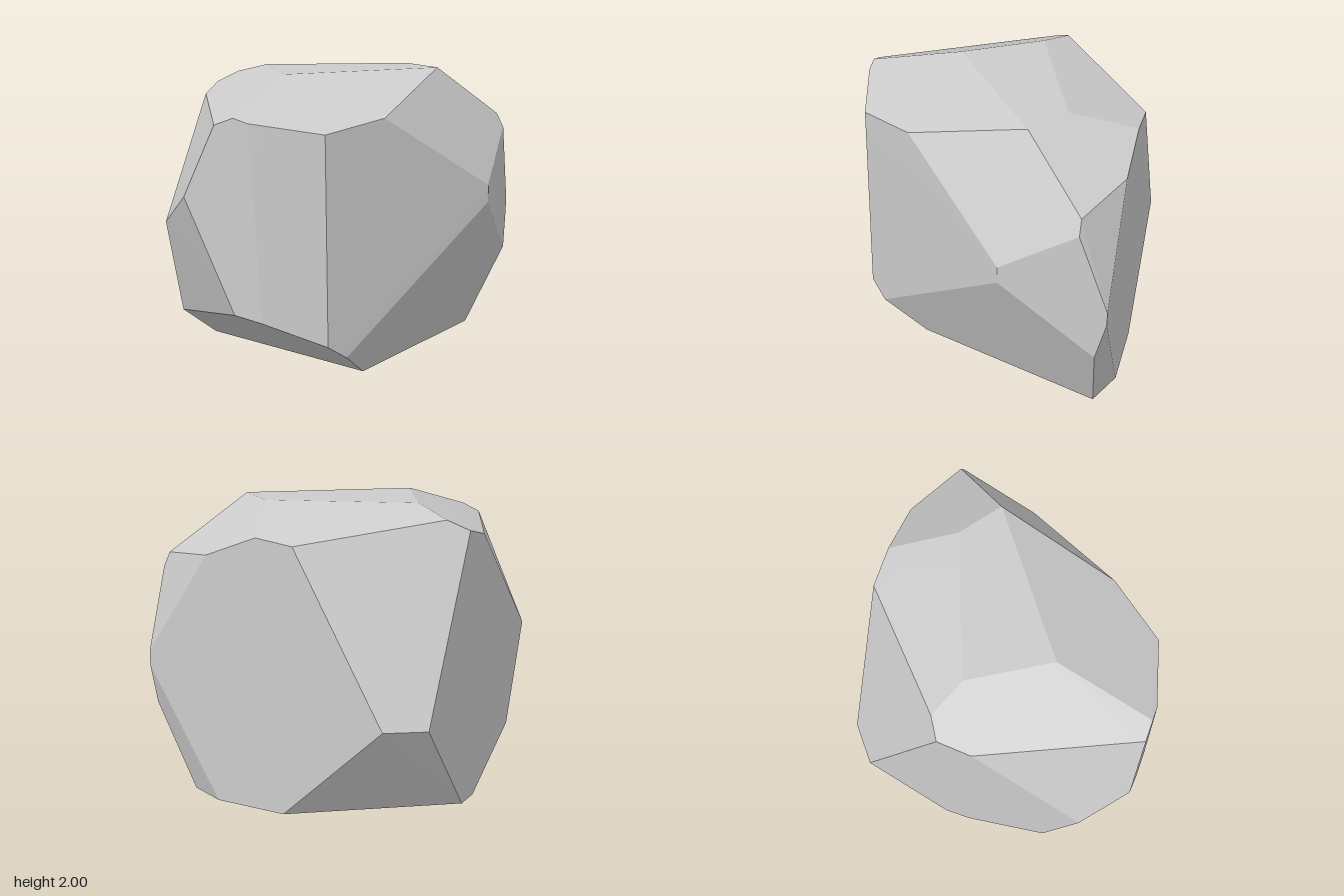
import * as THREE from 'three';
import { ConvexGeometry } from 'three/addons/geometries/ConvexGeometry.js';
import { toCreasedNormals } from 'three/addons/utils/BufferGeometryUtils.js';

// Outlines of the flat sides left on the block after its corners are cut away.
const sides = [
  // top, as x, z
  { outline: [[-0.61, -0.19], [-0.3, 0.32], [0.6, -0.37], [0.33, -0.57]], place: (x, z) => [x, 2, z] },
  // base, as x, z
  { outline: [[0.3, 0.44], [0.73, -0.89], [0.47, -1], [-0.04, -1], [-1, -0.27], [-1, -0.09]], place: (x, z) => [x, 0, z] },
  // front, as x, y
  { outline: [[-0.4, 1.8], [-0.53, 1.75], [-0.75, 1.27], [-0.41, 0.5], [-0.22, 0.46], [-0.3, 1.77]], place: (x, y) => [x, y, 1] },
  // back, as x, y
  { outline: [[0.52, 1.69], [0.14, 1.84], [-0.13, 1.81], [-0.77, 0.69], [1, 0.88], [1, 0.98]], place: (x, y) => [x, y, -1] },
  // +x side, as z, y
  { outline: [[-0.8, 1.53], [-0.28, 1.2], [-0.28, 1.08], [-0.93, 0.6]], place: (z, y) => [1, y, z] },
  // -x side, as z, y
  { outline: [[-0.23, 1.86], [0, 1.8], [0.74, 1.03], [0.49, 0.34], [-0.81, 0.68]], place: (z, y) => [-1, y, z] },
];

// Corners where three slanted cuts meet.
const cutCorners = [
  [-0.87, 1.93, -0.31], [0.95, 1.63, -0.8], [0.45, 1.76, 0.47],
  [0.17, 1.7, 0.87], [0.19, 0.3, 0.88], [0.28, 0.2, 0.76],
];

export function createModel() {
  const corners = sides.flatMap(({ outline, place }) => outline.map(([a, b]) => place(a, b)));
  const points = [...corners, ...cutCorners].map((p) => new THREE.Vector3(...p));

  // Faceted boulder: the hull of all corners, with each facet shaded as one plane
  const geometry = toCreasedNormals(new ConvexGeometry(points), 0.08);
  const boulder = new THREE.Mesh(geometry, new THREE.MeshStandardMaterial({ color: 0xcccccc }));
  boulder.name = 'boulder';

  const group = new THREE.Group();
  group.name = 'rock';
  group.add(boulder);
  return group;
}
